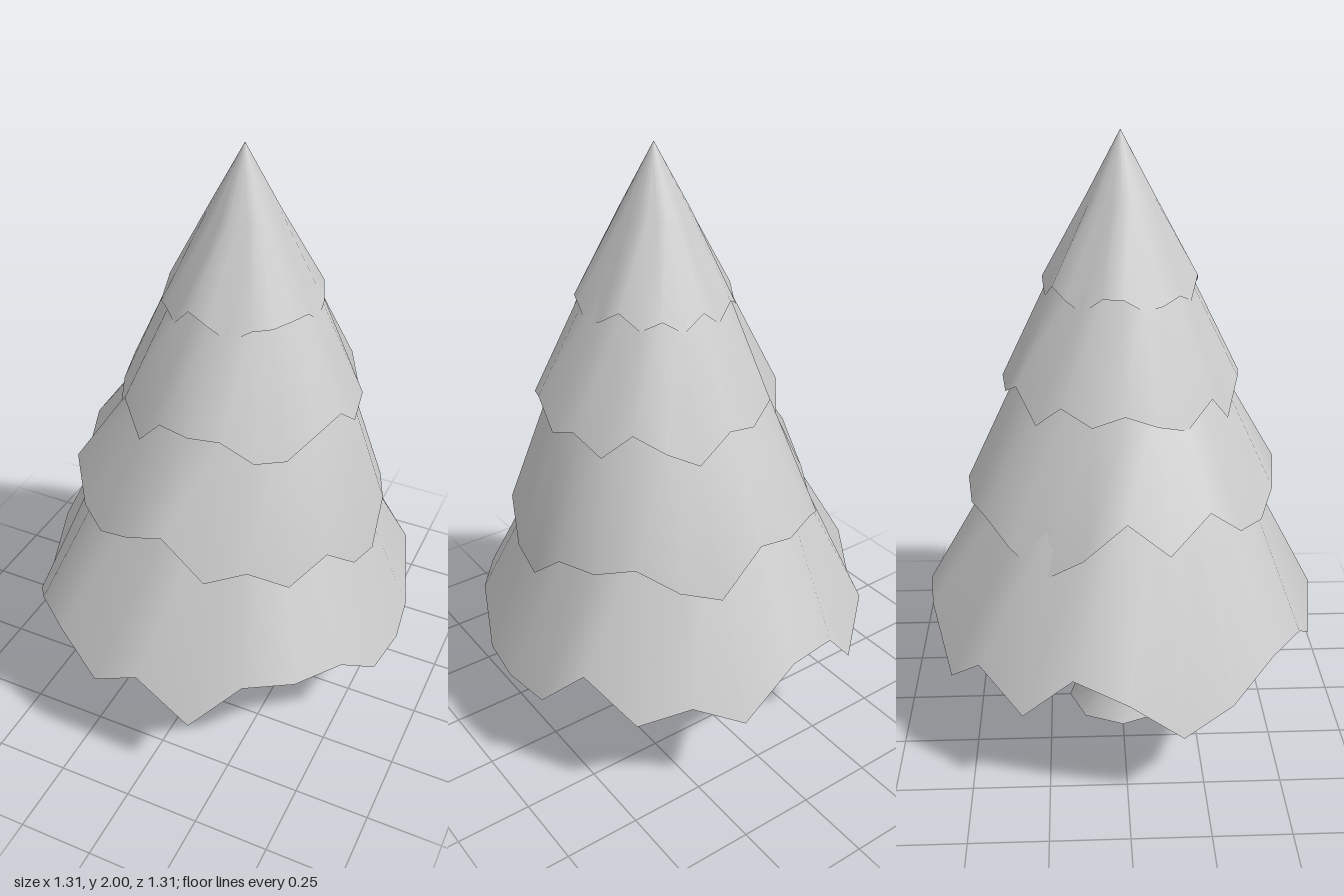
import * as THREE from 'three';

const material = new THREE.MeshStandardMaterial({ color: 0xcccccc, side: THREE.DoubleSide });

// Smooth open skin over rings of { x, r, y }; y is a height or a list of heights around the ring
function loft(name, sides, rings) {
  const positions = [], index = [];
  rings.forEach(({ x, r, y }, j) => {
    for (let i = 0; i < sides; i++) {
      const a = (i / sides) * Math.PI * 2;
      positions.push(x + r * Math.sin(a), Array.isArray(y) ? y[i] : y, r * Math.cos(a));
      if (j === rings.length - 1) continue;
      const p = j * sides + i, q = j * sides + (i + 1) % sides;
      index.push(p, q, q + sides, p, q + sides, p + sides);
    }
  });
  const geometry = new THREE.BufferGeometry();
  geometry.setAttribute('position', new THREE.Float32BufferAttribute(positions, 3));
  geometry.setIndex(index);
  geometry.computeVertexNormals();
  const mesh = new THREE.Mesh(geometry, material);
  mesh.name = name;
  return mesh;
}

// Foliage tiers: ragged rim heights run from the front (+z) round through +x
const tiers = [
  {
    name: 'bottomFoliage', x: 0, r: 0.655, shoulder: { x: 0.01, r: 0.4, y: 0.94 }, tip: 1.6,
    rim: [0.46, 0.295, 0.475, 0.455, 0.46, 0.33, 0.33, 0.33, 0.5, 0.345, 0.42, 0.33,
      0.5, 0.5, 0.32, 0.45, 0.33, 0.5, 0.42, 0.28, 0.35, 0.46, 0.46, 0.355],
  },
  {
    name: 'lowerMiddleFoliage', x: 0.03, r: 0.51, shoulder: { x: 0.06, r: 0.35, y: 1.2 }, tip: 1.75,
    rim: [0.93, 0.785, 0.83, 0.75, 0.83, 0.72, 0.69, 0.8, 0.8, 0.84, 0.76, 0.715,
      0.87, 0.84, 0.85, 0.79, 0.72, 0.81, 0.94, 0.82, 0.94, 0.835, 0.82, 0.875],
  },
  {
    name: 'upperMiddleFoliage', x: 0.062, r: 0.385, shoulder: { x: 0.065, r: 0.235, y: 1.53 }, tip: 1.93,
    rim: [1.23, 1.235, 1.16, 1.155, 1.22, 1.25, 1.17, 1.21, 1.15, 1.24, 1.18, 1.13,
      1.22, 1.2, 1.25, 1.15, 1.23, 1.18, 1.22, 1.18, 1.15, 1.23, 1.135, 1.24],
  },
  {
    name: 'topFoliage', x: 0.063, r: 0.248, shoulder: { x: 0.065, r: 0.108, y: 1.8 }, tip: 2,
    rim: [1.535, 1.495, 1.53, 1.53, 1.54, 1.54, 1.49, 1.52, 1.56, 1.51, 1.54, 1.5,
      1.55, 1.5, 1.55, 1.52, 1.49, 1.54, 1.54, 1.5, 1.51, 1.53, 1.5, 1.565],
  },
];

export function createModel() {
  const tree = new THREE.Group();
  tree.name = 'tree';

  // Flared trunk with a slight lean
  tree.add(loft('trunk', 8, [
    { x: 0, r: 0.185, y: 0 },
    { x: 0, r: 0.12, y: 0.17 },
    { x: -0.02, r: 0.116, y: 0.36 },
    { x: -0.03, r: 0.117, y: 0.57 },
  ]));

  // Four overlapping ragged cones
  for (const { name, x, r, rim, shoulder, tip } of tiers) {
    tree.add(loft(name, 24, [{ x, r, y: rim }, shoulder, { x: 0.065, r: 0.001, y: tip }]));
  }
  return tree;
}
